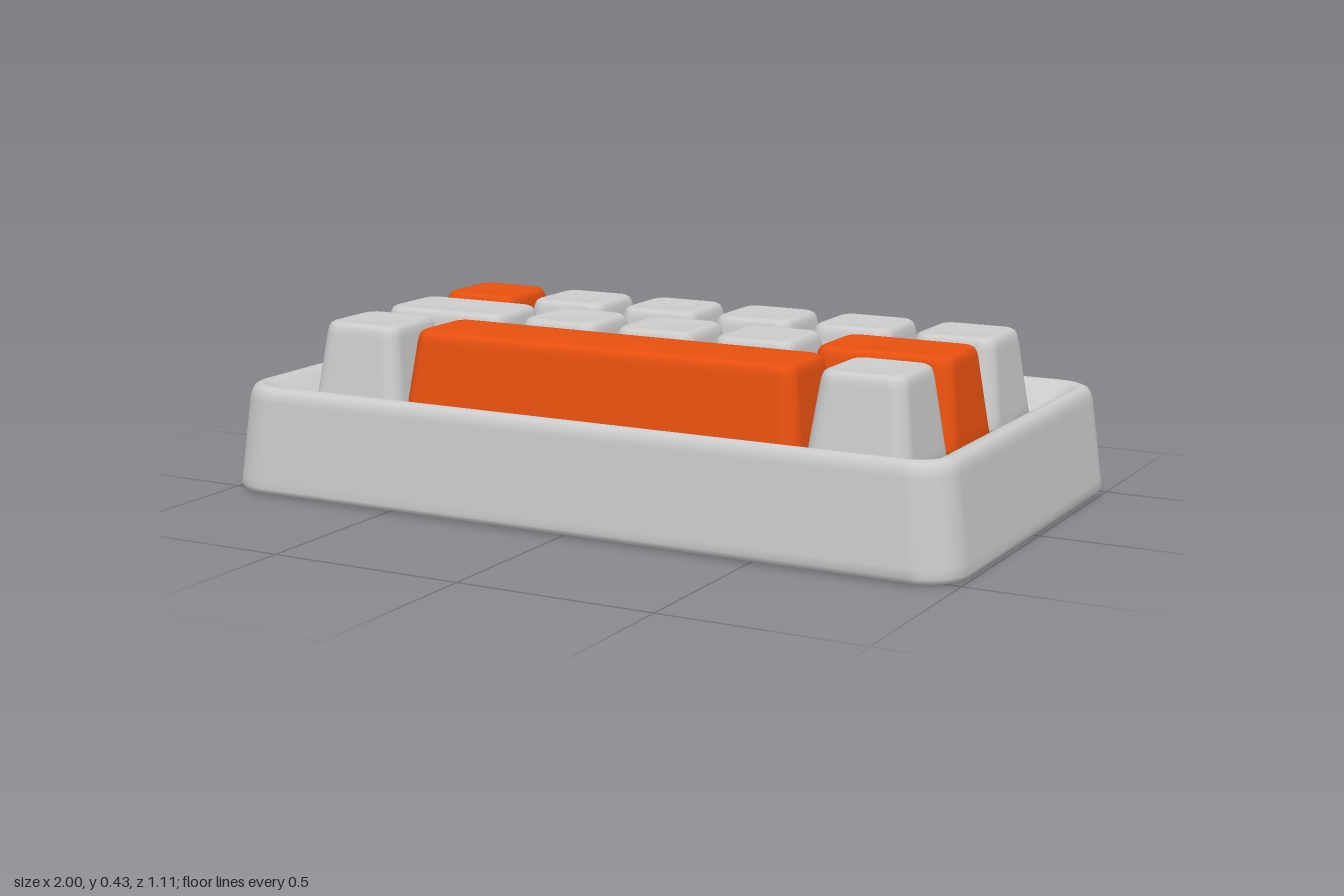
import * as THREE from 'three';

const grey = new THREE.MeshStandardMaterial({ color: 0xcccccc });
const orange = new THREE.MeshStandardMaterial({ color: 0xe8500f });

// Skin a stack of rounded rectangles; each ring is [halfX, halfZ, y, cornerRadius]
function loft(rings, seg = 6) {
  const pos = [], idx = [], n = 4 * (seg + 1);
  for (const [hx, hz, y, r] of rings) {
    for (let c = 0; c < 4; c++) {
      const sx = c === 0 || c === 3 ? 1 : -1, sz = c < 2 ? -1 : 1;
      for (let k = 0; k <= seg; k++) {
        const a = (c + k / seg) * Math.PI / 2;
        pos.push(sx * (hx - r) + r * Math.cos(a), y, sz * (hz - r) - r * Math.sin(a));
      }
    }
  }
  for (let i = 0; i < rings.length - 1; i++) {
    for (let j = 0; j < n; j++) {
      const a = i * n + j, b = i * n + (j + 1) % n, c = a + n, d = b + n;
      idx.push(a, b, d, a, d, c);
    }
  }
  const g = new THREE.BufferGeometry();
  g.setAttribute('position', new THREE.Float32BufferAttribute(pos, 3));
  g.setIndex(idx);
  g.computeVertexNormals();
  return g;
}

// Tapered keycap with bevelled top; crown raises or dishes the centre
function keycap(width, depth, crown) {
  const hx = width / 2, hz = depth / 2, top = 0.43;
  const at = (inset, y, r) => [hx - inset, hz - inset, y, r];
  return loft([
    [0, 0, 0.195, 0],
    at(0.02, 0.195, 0.03),
    at(0.004, 0.2, 0.04),
    at(0, 0.212, 0.042),
    at(0.004, 0.24, 0.042),
    at(0.025, 0.4, 0.04),
    at(0.028, 0.415, 0.04),
    at(0.033, 0.425, 0.037),
    at(0.042, top, 0.03),
    at(0.052, top, 0.025),
    at(0.085, top + crown * 0.6, 0.02),
    [0, 0, top + crown, 0],
  ]);
}

export function createModel() {
  const model = new THREE.Group();

  // Case: tapered walls, rounded rim, sloping recess and floor
  const body = new THREE.Mesh(loft([
    [0, 0, 0, 0],
    [0.96, 0.515, 0, 0.07],
    [0.98, 0.535, 0, 0.09],
    [0.993, 0.548, 0.005, 0.1],
    [1.0, 0.555, 0.018, 0.105],
    [0.997, 0.552, 0.04, 0.105],
    [0.971, 0.541, 0.24, 0.1],
    [0.967, 0.537, 0.258, 0.1],
    [0.96, 0.53, 0.272, 0.095],
    [0.947, 0.517, 0.278, 0.085],
    [0.93, 0.502, 0.275, 0.065],
    [0.915, 0.488, 0.267, 0.05],
    [0.87, 0.448, 0.225, 0.03],
    [0.855, 0.435, 0.205, 0.025],
    [0.845, 0.425, 0.195, 0.02],
    [0.82, 0.4, 0.195, 0.02],
    [0, 0, 0.195, 0],
  ], 8), grey);
  body.name = 'case';
  model.add(body);

  // Keys: each row lists widths in key units, left to right as seen from the front
  const pitch = 0.278, gap = 0.008;
  const rows = [
    { name: 'backRow', z: -pitch, units: [1, 1, 1, 1, 1, 1], coloured: 0 },
    { name: 'middleRow', z: 0, units: [1.5, 1, 1, 1, 1.5], coloured: 4 },
    { name: 'frontRow', z: pitch, units: [1, 4, 1], coloured: 1 },
  ];
  for (const { name, z, units, coloured } of rows) {
    const row = new THREE.Group();
    row.name = name;
    let x = -3 * pitch;
    units.forEach((u, i) => {
      const w = u * pitch;
      const key = new THREE.Mesh(
        keycap(w - gap, pitch - gap, u === 4 ? 0.004 : -0.004),
        i === coloured ? orange : grey);
      key.name = u === 4 ? 'spaceBar' : u > 1 ? 'wideKey' : 'key';
      key.position.set(x + w / 2, 0, z);
      row.add(key);
      x += w;
    });
    model.add(row);
  }
  return model;
}
